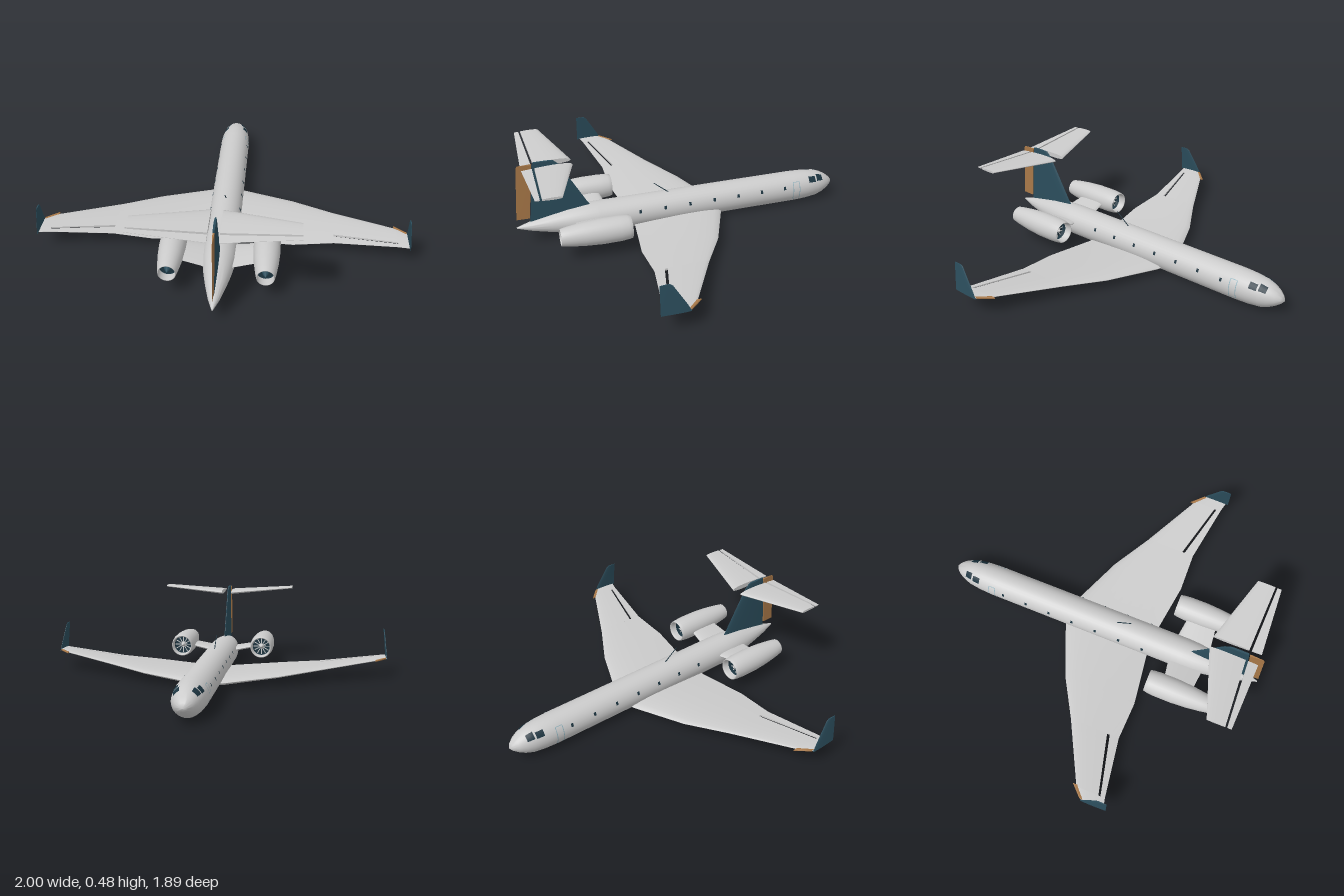
import * as THREE from 'three';
import { toCreasedNormals } from 'three/addons/utils/BufferGeometryUtils.js';

const mat = (color) => new THREE.MeshStandardMaterial({ color, side: THREE.DoubleSide });
const GREY = mat(0xcccccc), BLUE = mat(0x2b4d5c), ORANGE = mat(0xa87848), DARK = mat(0x1c3440), TRIM = mat(0x8fb0bb);

// Skin a list of equal-length rings, cap both ends, and make the winding face outward
function loft(rings, crease = 0.7) {
  const n = rings[0].length, pos = rings.flat(2), idx = [];
  for (let i = 0; i < rings.length - 1; i++)
    for (let j = 0; j < n; j++) {
      const a = i * n + j, b = i * n + (j + 1) % n;
      idx.push(a, b, a + n, b, b + n, a + n);
    }
  const last = (rings.length - 1) * n;
  for (let j = 1; j < n - 1; j++) {
    idx.push(0, j + 1, j);
    idx.push(last, last + j, last + j + 1);
  }
  const p = (i) => new THREE.Vector3().fromArray(pos, i * 3);
  let volume = 0;
  for (let k = 0; k < idx.length; k += 3) volume += p(idx[k]).dot(p(idx[k + 1]).cross(p(idx[k + 2])));
  if (volume < 0) idx.reverse();
  const g = new THREE.BufferGeometry();
  g.setAttribute('position', new THREE.Float32BufferAttribute(pos, 3));
  g.setIndex(idx);
  return toCreasedNormals(g, crease);
}

// Aerofoil surface. Stations: [x, y, leading z, trailing z, thickness, cut start, cut end]
function foil(stations, s = 1, upright = false) {
  const half = (f) => 5 * (0.2969 * Math.sqrt(f) - 0.126 * f - 0.3516 * f * f + 0.2843 * f ** 3 - 0.1036 * f ** 4);
  return loft(stations.map(([x, y, le, te, t, z0 = le, z1 = te]) => {
    const upper = [], lower = [], N = 10;
    for (let k = 0; k <= N; k++) {
      const z = z0 + (z1 - z0) * (k / N) ** 1.6;
      const f = Math.min(1, Math.max(0, (z - le) / (te - le)));
      const h = half(f) * t + 0.0008;
      upper.push(upright ? [s * (x + h), y, z] : [s * x, y + h, z]);
      lower.unshift(upright ? [s * (x - h), y, z] : [s * x, y - h, z]);
    }
    return [...upper, ...lower];
  }));
}

// Fuselage stations: [z, centre y, half width, half height]
const BODY = [
  [-0.945, 0.092, 0.003, 0.003], [-0.93, 0.093, 0.025, 0.022], [-0.905, 0.094, 0.046, 0.042],
  [-0.87, 0.094, 0.063, 0.063], [-0.83, 0.094, 0.076, 0.077], [-0.76, 0.094, 0.085, 0.085],
  [-0.68, 0.094, 0.089, 0.088], [0.5, 0.094, 0.089, 0.088], [0.57, 0.095, 0.085, 0.084],
  [0.66, 0.097, 0.072, 0.072], [0.76, 0.098, 0.053, 0.051], [0.86, 0.098, 0.03, 0.029], [0.945, 0.097, 0.003, 0.003],
];
function bodyAt(z) {
  const i = Math.max(1, BODY.findIndex((b) => b[0] >= z));
  const a = BODY[i - 1], b = BODY[i], t = (z - a[0]) / (b[0] - a[0]);
  return a.map((v, k) => v + (b[k] - v) * t);
}
function onBody(z, a, lift = 0) {
  const [, cy, rx, ry] = bodyAt(z);
  return [(rx + lift) * Math.cos(a), cy + (ry + lift) * Math.sin(a), z];
}

// Thin panel hugging the fuselage between two z values and two angles
function patch(z0, z1, a0, a1, s) {
  const g = new THREE.PlaneGeometry(1, 1, 4, 8), p = g.attributes.position;
  for (let i = 0; i < p.count; i++) {
    const [x, y, z] = onBody(z0 + (z1 - z0) * (p.getX(i) + 0.5), a0 + (a1 - a0) * (p.getY(i) + 0.5), 0.0015);
    p.setXYZ(i, s * x, y, z);
  }
  if (s > 0) g.index.array.reverse();
  g.computeVertexNormals();
  return g;
}

export function createModel() {
  const root = new THREE.Group();
  const add = (name, geo, material = GREY, parent = root) => {
    const m = new THREE.Mesh(geo, material);
    m.name = name;
    parent.add(m);
    return m;
  };

  // Fuselage
  add('fuselage', loft(BODY.map(([z]) => Array.from({ length: 32 }, (_, j) => onBody(z, j / 32 * Math.PI * 2))), 1.0));

  // Fin and rudder
  add('fin', foil([[0, 0.12, 0.5, 0.9, 0.014, 0.5, 0.868], [0, 0.207, 0.555, 0.9, 0.014, 0.555, 0.858],
    [0, 0.45, 0.69, 0.9, 0.012, 0.69, 0.832], [0, 0.478, 0.72, 0.9, 0.01, 0.72, 0.828]], 1, true), BLUE);
  add('rudder', foil([[0, 0.147, 0.56, 0.942, 0.012, 0.87, 0.942], [0, 0.455, 0.7, 0.917, 0.012, 0.836, 0.917],
    [0, 0.468, 0.7, 0.91, 0.012, 0.834, 0.91]], 1, true), ORANGE);

  // Blade antenna
  const antenna = add('antenna', new THREE.CylinderGeometry(0.002, 0.003, 0.12, 6), DARK);
  antenna.position.set(0, 0.21, 0.122);
  antenna.rotation.x = 0.88;

  for (const s of [1, -1]) {
    const side = new THREE.Group();
    side.name = s > 0 ? 'leftSide' : 'rightSide';
    root.add(side);
    const part = (name, geo, material) => add(name, geo, material, side);

    // Main wing, cut short ahead of the aileron slot
    part('innerWing', foil([[0, 0.043, -0.23, 0.3, 0.048], [0.09, 0.045, -0.205, 0.305, 0.046],
      [0.38, 0.063, -0.082, 0.345, 0.03], [0.6, 0.081, 0.048, 0.338, 0.02]], s));
    part('outerWing', foil([[0.6, 0.081, 0.048, 0.338, 0.02, 0.048, 0.268],
      [0.935, 0.112, 0.225, 0.392, 0.011, 0.225, 0.354]], s));
    part('aileron', foil([[0.6, 0.081, 0.048, 0.338, 0.02, 0.284, 0.338],
      [0.935, 0.112, 0.225, 0.392, 0.011, 0.366, 0.392]], s));
    part('wingTip', foil([[0.935, 0.112, 0.225, 0.392, 0.011], [0.99, 0.116, 0.27, 0.405, 0.008]], s));

    // Winglet and its leading-edge fillet
    part('winglet', foil([[0.994, 0.112, 0.27, 0.42, 0.006], [0.991, 0.15, 0.29, 0.42, 0.006],
      [0.981, 0.262, 0.357, 0.42, 0.005], [0.98, 0.272, 0.37, 0.42, 0.004]], s, true), BLUE);
    part('tipFillet', foil([[0.925, 0.111, 0.2, 0.245, 0.008], [0.988, 0.117, 0.265, 0.29, 0.008]], s), ORANGE);

    // Tailplane and elevator
    const tailRoot = [0.03, 0.452, 0.62, 0.892, 0.026], tailTip = [0.413, 0.477, 0.738, 0.873, 0.012];
    part('tailplane', foil([[...tailRoot, 0.62, 0.822], [...tailTip, 0.738, 0.838]], s));
    part('elevator', foil([[...tailRoot, 0.836, 0.892], [...tailTip, 0.849, 0.873]], s));

    // Engine: open nacelle, fan, spinner, exhaust cone and pylon
    const engine = new THREE.Group();
    engine.name = 'engine';
    engine.position.set(s * 0.245, 0.145, 0);
    side.add(engine);
    const turn = (name, pts, material) => add(name, new THREE.LatheGeometry(pts.map(([r, z]) => new THREE.Vector2(r, z)), 28)
      .rotateX(Math.PI / 2), material, engine);
    turn('nacelle', [[0.052, 0.41], [0.054, 0.38], [0.058, 0.367], [0.062, 0.366], [0.066, 0.385], [0.07, 0.43],
      [0.07, 0.53], [0.064, 0.62], [0.054, 0.7], [0.046, 0.745], [0.043, 0.745], [0.047, 0.69]]);
    turn('duct', [[0.052, 0.405], [0.05, 0.55], [0.047, 0.69]], DARK);
    turn('fanDisc', [[0, 0.43], [0.052, 0.43]], DARK);
    turn('spinner', [[0, 0.392], [0.009, 0.405], [0.016, 0.43]]);
    turn('exhaustDisc', [[0, 0.68], [0.047, 0.68]], DARK);
    turn('exhaustCone', [[0.024, 0.68], [0.014, 0.715], [0, 0.74]], BLUE);
    for (let k = 0; k < 12; k++) {
      const blade = add('fanBlade', new THREE.BoxGeometry(0.005, 0.036, 0.002).translate(0, 0.032, 0), GREY, engine);
      blade.position.z = 0.422;
      blade.rotation.z = k / 12 * Math.PI * 2;
    }
    part('pylon', foil([[0.06, 0.112, 0.43, 0.635, 0.024], [0.195, 0.138, 0.45, 0.62, 0.022]], s));

    // Cabin windows, cockpit glazing and door outline
    for (let k = 0; k < 7; k++) {
      const z = 0.27 - k * 0.146;
      part('cabinWindow', patch(z - 0.007, z + 0.007, 0.28, 0.5, s), DARK);
    }
    part('sideWindow', patch(-0.812, -0.768, 0.5, 0.95, s), DARK);
    part('windscreen', patch(-0.862, -0.822, 0.55, 1.1, s), DARK);
    const frame = (z0, z1, a0, a1) => {
      for (const z of [z0, z1]) part('doorFrame', patch(z - 0.002, z + 0.002, a0, a1, s), TRIM);
      for (const a of [a0, a1]) part('doorFrame', patch(z0, z1, a - 0.02, a + 0.02, s), TRIM);
    };
    frame(-0.702, -0.662, -0.52, 0.7);
  }
  return root;
}
